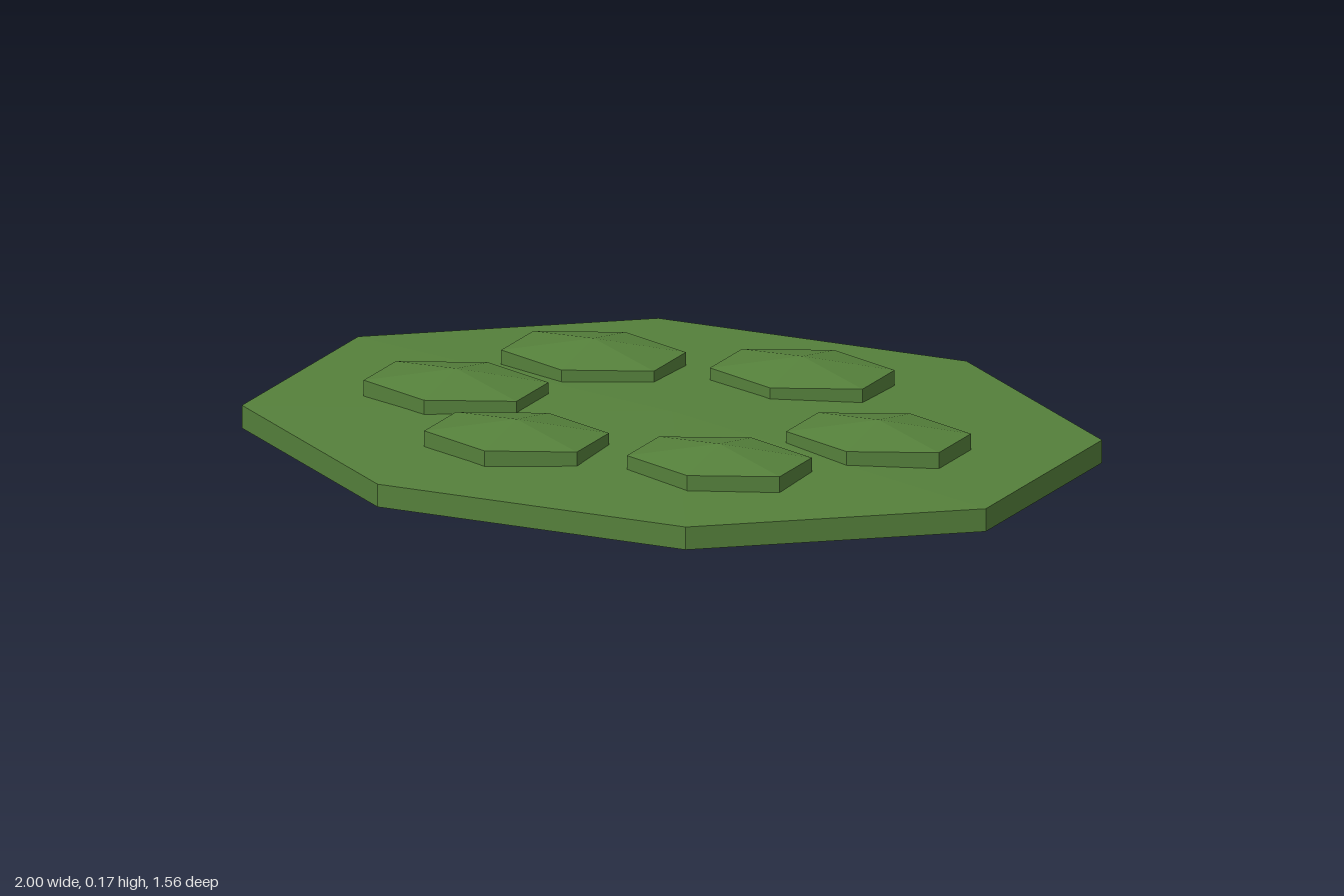
import * as THREE from 'three';

const leafGreen = new THREE.MeshStandardMaterial({ color: 0x55803b, flatShading: true });
leafGreen.name = 'leafGreen';

// Low-poly flattened spheroid: a straight-sided rim with shallow cones above and below.
// rx and rz are the rim's corner radii, ry is half the total height.
function lozenge(name, sides, rx, ry, rz) {
  const geometry = new THREE.SphereGeometry(1, sides, 3, Math.PI / sides);
  const rim = Math.sin(Math.PI / 3);
  geometry.scale(rx / rim, ry, rz / rim);
  const mesh = new THREE.Mesh(geometry, leafGreen);
  mesh.name = name;
  return mesh;
}

export function createModel() {
  const model = new THREE.Group();
  model.name = 'leafPad';

  // Broad octagonal pad
  const pad = lozenge('pad', 8, 1.082, 0.0575, 0.842);
  pad.position.y = 0.0575;
  model.add(pad);

  // Ring of six hexagonal bumps sunk into the pad
  const bumps = new THREE.Group();
  bumps.name = 'bumps';
  const centres = [
    [0.555, 0], [0.297, 0.35], [-0.235, 0.377],
    [-0.553, 0.056], [-0.365, -0.318], [0.155, -0.402],
  ];
  centres.forEach(([x, z], i) => {
    const bump = lozenge(`bump${i + 1}`, 6, 0.237, 0.065, 0.178);
    bump.position.set(x, 0.101, z);
    bumps.add(bump);
  });
  model.add(bumps);

  return model;
}
